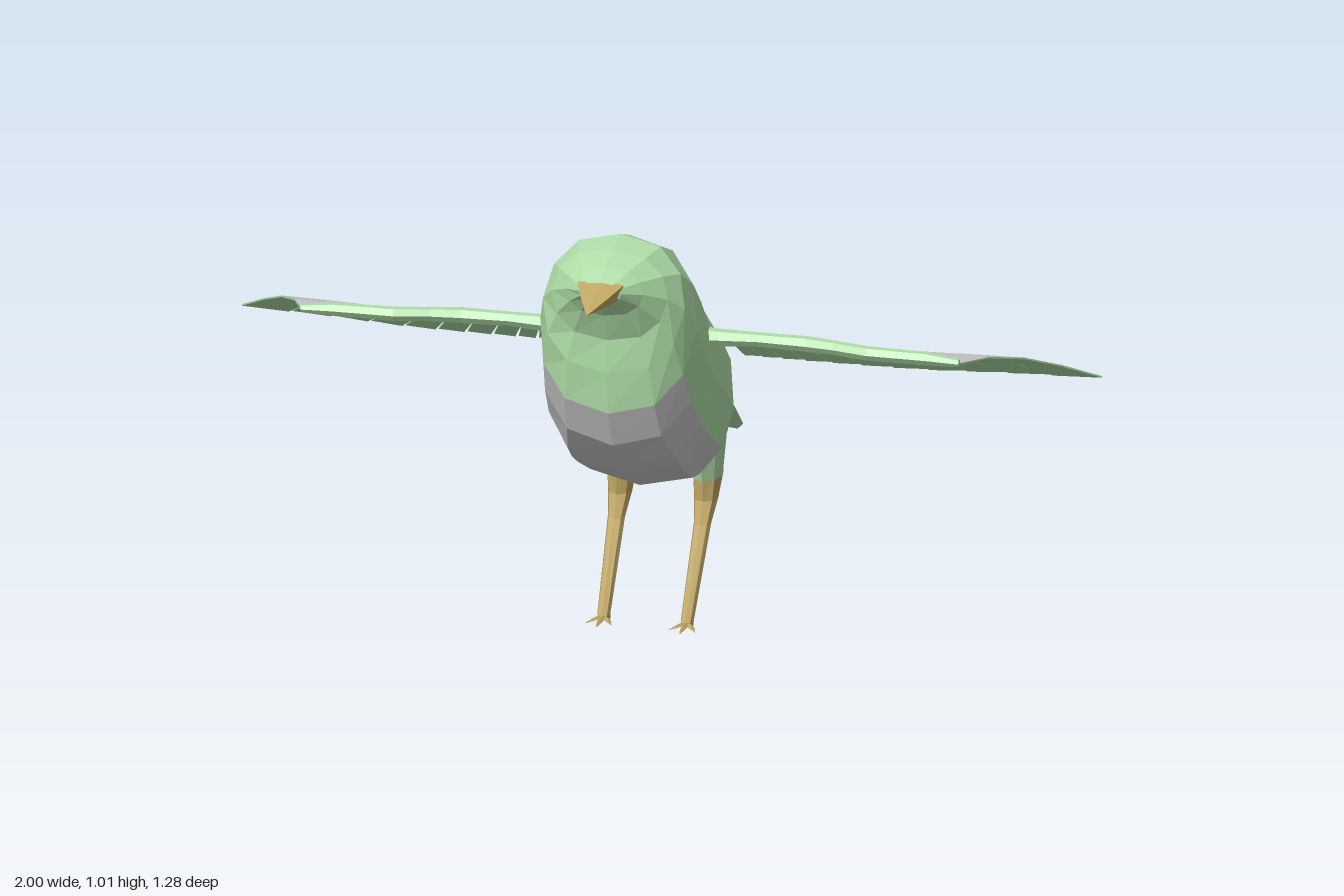
import * as THREE from 'three';

const V = (x, y, z) => new THREE.Vector3(x, y, z);
const material = (color) => new THREE.MeshStandardMaterial({ color, flatShading: true });
const green = material(0xb0dea8), grey = material(0xcccccc), tan = material(0xc0a764);

function meshOf(name, tris, mat) {
  const geo = new THREE.BufferGeometry().setFromPoints(tris.flatMap((t) => t.p));
  geo.computeVertexNormals();
  const mesh = new THREE.Mesh(geo, mat);
  mesh.name = name;
  return mesh;
}

// Skin between closed rings with capped ends, always facing outwards.
// Each triangle carries its ring and side number so patches can be split off.
function loftTris(rings) {
  const tris = [], n = rings[0].length;
  const add = (a, b, c, i, j) => tris.push({ p: [a, b, c], i, j });
  for (let i = 0; i < rings.length - 1; i++) {
    for (let j = 0; j < n; j++) {
      const k = (j + 1) % n, A = rings[i], B = rings[i + 1];
      add(A[j], A[k], B[k], i, j);
      add(A[j], B[k], B[j], i, j);
    }
  }
  const last = rings.length - 1;
  for (let j = 1; j < n - 1; j++) {
    add(rings[0][0], rings[0][j + 1], rings[0][j], -1, j);
    add(rings[last][0], rings[last][j], rings[last][j + 1], last, j);
  }
  const centre = rings[0][0];
  let volume = 0;
  for (const { p } of tris) {
    const [a, b, c] = p.map((q) => q.clone().sub(centre));
    volume += a.dot(b.cross(c));
  }
  if (volume < 0) tris.forEach((t) => t.p.reverse());
  return tris;
}
const loft = (name, rings, mat) => meshOf(name, loftTris(rings), mat);

// Horizontal oval ring for legs
const oval = ([x, y, z, rx, rz], side, n = 8) => Array.from({ length: n }, (_, j) => {
  const a = (j / n) * Math.PI * 2;
  return V(side * (x + rx * Math.cos(a)), y, z + rz * Math.sin(a));
});

function addBody(group) {
  // top z, top y, bottom z, bottom y, half width
  const stations = [
    [.52, .96, .515, .915, .05], [.47, .98, .48, .87, .09], [.40, 1.0, .45, .80, .135],
    [.32, 1.01, .45, .72, .165], [.24, .98, .44, .62, .182], [.19, .93, .40, .53, .19],
    [.12, .83, .33, .46, .195], [.06, .795, .29, .425, .196], [0, .765, .24, .395, .195],
    [-.1, .68, .14, .345, .187], [-.19, .61, .0, .308, .16], [-.235, .54, -.13, .315, .112],
    [-.26, .495, -.2, .43, .085],
  ];
  const n = 12;
  const rings = stations.map(([tz, ty, bz, by, w], i) => Array.from({ length: n }, (_, j) => {
    const a = (j / n) * Math.PI * 2, s = Math.sin(a), f = (1 - Math.cos(a)) / 2;
    // the underside is boxier than the back
    const x = w * Math.sign(s) * Math.pow(Math.abs(s), i > 5 && f > .5 ? .65 : .8);
    return V(x, ty + (by - ty) * f, tz + (bz - tz) * f);
  }));
  const isBelly = ({ i, j }) => (i >= 4 && j >= 4 && j <= 7) || (i >= 11 && j >= 3 && j <= 8);
  const tris = loftTris(rings);
  group.add(meshOf('body', tris.filter((t) => !isBelly(t)), green));
  group.add(meshOf('belly', tris.filter(isBelly), grey));
}

function addBeak(group) {
  const base = [[0, .963], [.054, .957], [.04, .918], [0, .912], [-.04, .918], [-.054, .957]];
  const ringAt = (z, s) => base.map(([x, y]) => V(x * s, .925 + (y - .925) * s, z));
  group.add(loft('beak', [ringAt(.51, 1), ringAt(.575, .55), ringAt(.64, .02)], tan));
}

function addTail(group) {
  // ridge z, ridge y, edge z, edge y, half width
  const rows = [[-.2, .56, -.2, .47, .09], [-.27, .492, -.25, .435, .094], [-.42, .392, -.4, .345, .086],
    [-.57, .292, -.55, .25, .069], [-.64, .245, -.59, .234, .058]];
  const rings = rows.map(([rz, ry, ez, ey, w]) => {
    const mz = (rz + ez) / 2, my = ry - (ry - ey) * .25;
    return [V(0, ry, rz), V(w * .65, my, mz), V(w, ey + .008, ez), V(w * .8, ey - .004, ez),
      V(0, ey, ez), V(-w * .8, ey - .004, ez), V(-w, ey + .008, ez), V(-w * .65, my, mz)];
  });
  group.add(loft('tail', rings, green));
}

function addLeg(group, side) {
  const leg = new THREE.Group();
  leg.name = side > 0 ? 'leftLeg' : 'rightLeg';
  const thigh = [[.1, .49, -.07, .045, .06], [.106, .4, -.075, .042, .068], [.1, .3, -.09, .035, .054]];
  const shank = [[.1, .31, -.096, .036, .055], [.1, .25, -.078, .028, .035],
    [.1, .2, -.043, .02, .024], [.097, .01, .088, .015, .021], [.097, 0, .088, .015, .021]];
  leg.add(loft('thigh', thigh.map((r) => oval(r, side)), green));
  leg.add(loft('shank', shank.map((r) => oval(r, side)), tan));
  for (const [tx, tz] of [[.097, .16], [.067, .14], [.127, .14], [.097, .045]]) {
    const start = V(side * .097, .005, .088), end = V(side * tx, .003, tz);
    const across = V(0, 1, 0).cross(end.clone().sub(start)).normalize();
    const ringAt = (t, r) => [[1, 0], [0, 1], [-1, 0], [0, -.6]].map(([u, v]) =>
      start.clone().lerp(end, t).addScaledVector(across, u * r).add(V(0, v * r * .8, 0)));
    leg.add(loft('toe', [ringAt(0, .009), ringAt(.6, .006), ringAt(1, .001)], tan));
  }
  group.add(leg);
}

function addWing(group, side) {
  const wing = new THREE.Group();
  wing.name = side > 0 ? 'leftWing' : 'rightWing';

  // Arm along the leading edge: x, y, z, radius
  const arm = [[.13, .735, .2, .03], [.2, .735, .195, .022], [.29, .735, .187, .018], [.4, .735, .19, .02],
    [.47, .737, .205, .018], [.55, .738, .226, .018], [.69, .738, .228, .017], [.765, .735, .232, .01]];
  wing.add(loft('wingArm', arm.map(([x, y, z, r]) => Array.from({ length: 6 }, (_, j) => {
    const a = (j / 6) * Math.PI * 2;
    return V(side * x, y + r * .9 * Math.sin(a), z + r * Math.cos(a));
  })), green));

  // Feather vane: t runs along the span, v from leading to trailing edge
  const lead = new THREE.CatmullRomCurve3(arm.map(([x, y, z]) => V(x, y, z)));
  const trail = new THREE.CatmullRomCurve3([V(.2, .62, -.03), V(.4, .603, -.075), V(.6, .592, -.11),
    V(.8, .588, -.147), V(1, .588, -.16)]);
  const at = (t, v, shift) => {
    const p = lead.getPoint(.08 + .92 * t).lerp(trail.getPoint(t), v);
    const bow = Math.sin(Math.PI * v);
    return V(side * (p.x - .03 * t * bow + shift), p.y + (.014 + .014 * t) * bow, p.z);
  };
  const cuts = [.2, .24, .285, .335, .395, .46, .53, .61, .695, .785, .885, 1].map((x) => (x - .2) / .8);
  const rows = [0, .28, .55, .78, 1], slit = .55, drop = V(0, -.004, 0);
  const vane = [];
  for (let f = 0; f < cuts.length - 1; f++) {
    // thin closed blade per feather, narrowing beyond the slit
    vane.push(...loftTris(rows.map((v) => {
      const gap = Math.max(0, v - slit) / (1 - slit) * .0035;
      const inner = at(cuts[f], v, gap);
      const outer = at(cuts[f + 1], v, f === cuts.length - 2 ? 0 : -gap);
      if (v === 1) inner.z += .006;
      return [inner, outer, outer.clone().add(drop), inner.clone().add(drop)];
    })));
  }
  wing.add(meshOf('featherTops', vane.filter((t) => t.j === 0), grey));
  wing.add(meshOf('featherUndersides', vane.filter((t) => t.j !== 0), green));
  group.add(wing);
}

export function createModel() {
  const bird = new THREE.Group();
  bird.name = 'bird';
  addBody(bird);
  addBeak(bird);
  addTail(bird);
  for (const side of [1, -1]) {
    addLeg(bird, side);
    addWing(bird, side);
  }
  return bird;
}
